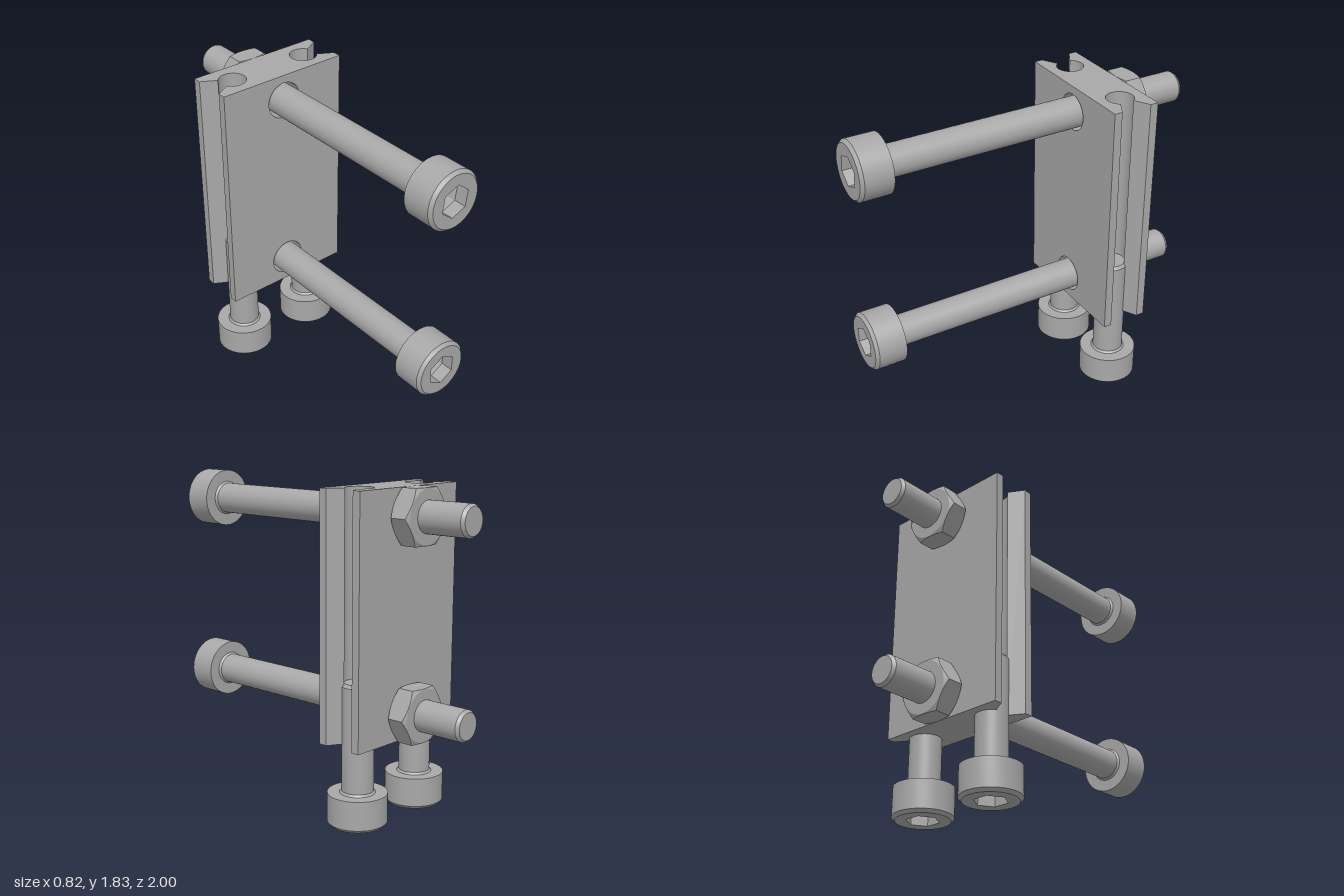
import * as THREE from 'three';
import { toCreasedNormals } from 'three/addons/utils/BufferGeometryUtils.js';

const SEG = 48;
const BOLT_R = 0.088;
const PLATE = { x: 0.395, y0: 0.455, y1: 1.815, z: -0.458, half: 0.137 };
const BOLT_YS = [0.605, 1.665];

const steel = new THREE.MeshStandardMaterial({ color: 0xa8a8a8 });
steel.name = 'grey steel';

function mesh(name, geometry) {
  const m = new THREE.Mesh(geometry, steel);
  m.name = name;
  return m;
}

// Non-indexed geometry from triangle corners, smooth on curves and sharp at edges
function creased(points) {
  const g = new THREE.BufferGeometry().setFromPoints(points);
  g.computeVertexNormals();
  return toCreasedNormals(g, 0.45);
}

// Radius of a hexagon (corner radius c) at angle t
function hexRadius(c, t) {
  const sixth = Math.PI / 3;
  return c * Math.cos(sixth / 2) / Math.cos(((t + 1e-9) % sixth) - sixth / 2);
}

// Skin joining rings along y; each ring maps an angle to [radius, height]
function ringSkin(rings) {
  const at = (ring, i) => {
    const t = ((i % SEG) / SEG) * Math.PI * 2;
    const [r, y] = ring(t);
    return new THREE.Vector3(r * Math.cos(t), y, r * Math.sin(t));
  };
  const pts = [];
  for (let k = 0; k < rings.length - 1; k++) {
    for (let i = 0; i < SEG; i++) {
      const a = at(rings[k], i), b = at(rings[k], i + 1);
      const c = at(rings[k + 1], i), d = at(rings[k + 1], i + 1);
      if (a.distanceTo(b) > 1e-6) pts.push(a, d, b);
      if (c.distanceTo(d) > 1e-6) pts.push(a, c, d);
    }
  }
  return creased(pts);
}

const circle = (r, y) => () => [r, y];
const hexagon = (c, y) => (t) => [hexRadius(c, t), y];

// Socket head bolt standing on its head, shank pointing up
function boltGeometry(length) {
  const headR = 0.165, headH = 0.18, socket = 0.09;
  return ringSkin([
    circle(0, 0.12), hexagon(socket, 0.07), hexagon(socket, 0), // hex socket
    circle(headR - 0.017, 0), circle(headR, 0.018),             // chamfered rim
    circle(headR, headH), circle(BOLT_R + 0.01, headH),
    circle(BOLT_R, headH + 0.012),                              // fillet under head
    circle(BOLT_R, length - 0.018), circle(BOLT_R - 0.013, length), circle(0, length),
  ]);
}

// Hex nut with corners cut by a cone on both faces
function nutGeometry(height) {
  const corner = 0.173, flat = 0.147;
  const bevel = (t) => (hexRadius(corner, t) - flat) * 0.577;
  return ringSkin([
    circle(BOLT_R, 0), circle(flat, 0),
    (t) => [hexRadius(corner, t), bevel(t)],
    (t) => [hexRadius(corner, t), height - bevel(t)],
    circle(flat, height), circle(BOLT_R, height),
  ]);
}

// Plate with a flared groove down each edge and two cross holes
function buildPlate() {
  const { x: X, y0, y1, z, half: H } = PLATE;
  const plate = new THREE.Group();
  plate.name = 'clampPlate';

  // Cross-section seen from above
  const grooveX = 0.243, grooveR = 0.077, mouth = 0.09, a = Math.asin(0.041 / grooveR);
  const section = new THREE.Shape();
  section.moveTo(-X, -H);
  section.lineTo(X, -H);
  section.lineTo(X, -mouth);
  section.absarc(grooveX, 0, grooveR, -a, a, true);
  section.lineTo(X, mouth);
  section.lineTo(X, H);
  section.lineTo(-X, H);
  section.lineTo(-X, mouth);
  section.absarc(-grooveX, 0, grooveR, Math.PI - a, Math.PI + a, true);
  section.lineTo(-X, -mouth);

  const top = mesh('plateTop', new THREE.ShapeGeometry(section, 16));
  top.rotation.x = -Math.PI / 2;
  top.position.set(0, y1, z);
  const bottom = mesh('plateBottom', new THREE.ShapeGeometry(section, 16));
  bottom.rotation.x = Math.PI / 2;
  bottom.position.set(0, y0, z);
  plate.add(top, bottom);

  // Side walls and grooves
  const outline = section.getPoints(16);
  const pts = [];
  outline.forEach((p, i) => {
    const q = outline[(i + 1) % outline.length];
    if (Math.abs(p.y) === H && p.y === q.y) return;
    const v = (s, y) => new THREE.Vector3(s.x, y, z - s.y);
    pts.push(v(p, y0), v(q, y0), v(q, y1), v(p, y0), v(q, y1), v(p, y1));
  });
  plate.add(mesh('plateSides', creased(pts)));

  // Front and back faces with holes
  const holeR = 0.105;
  const face = new THREE.Shape([
    new THREE.Vector2(-X, y0), new THREE.Vector2(X, y0),
    new THREE.Vector2(X, y1), new THREE.Vector2(-X, y1),
  ]);
  for (const y of BOLT_YS) {
    face.holes.push(new THREE.Path().absarc(0, y, holeR, 0, Math.PI * 2, true));
  }
  const faceGeometry = new THREE.ShapeGeometry(face, 20);
  const front = mesh('plateFront', faceGeometry);
  front.position.z = z + H;
  const back = mesh('plateBack', faceGeometry);
  back.rotation.y = Math.PI;
  back.position.z = z - H;
  plate.add(front, back);

  // Hole walls, facing inward
  for (const y of BOLT_YS) {
    const bore = new THREE.CylinderGeometry(holeR, holeR, 2 * H, 40, 1, true);
    bore.scale(-1, 1, 1);
    bore.computeVertexNormals();
    bore.rotateX(Math.PI / 2);
    bore.translate(0, y, z);
    plate.add(mesh('plateHole', bore));
  }
  return plate;
}

export function createModel() {
  const model = new THREE.Group();
  model.name = 'clampAssembly';
  model.add(buildPlate());

  // Long bolts through the plate, each with a nut behind
  const longBolt = boltGeometry(2);
  const nut = nutGeometry(0.12);
  BOLT_YS.forEach((y, i) => {
    const set = new THREE.Group();
    set.name = i ? 'upperBolt' : 'lowerBolt';
    set.rotation.x = -Math.PI / 2;
    set.position.set(0, y, 1);
    const bolt = mesh('longBolt', longBolt);
    bolt.rotation.y = Math.PI / 6 + i * 0.14;
    const hexNut = mesh('hexNut', nut);
    hexNut.position.y = 1 - (PLATE.z - PLATE.half);
    set.add(bolt, hexNut);
    model.add(set);
  });

  // Short bolts screwed up into the grooves
  const shortBolt = boltGeometry(0.79);
  for (const side of [-1, 1]) {
    const bolt = mesh(side > 0 ? 'leftFootBolt' : 'rightFootBolt', shortBolt);
    bolt.position.set(side * 0.243, 0, PLATE.z);
    model.add(bolt);
  }
  return model;
}
